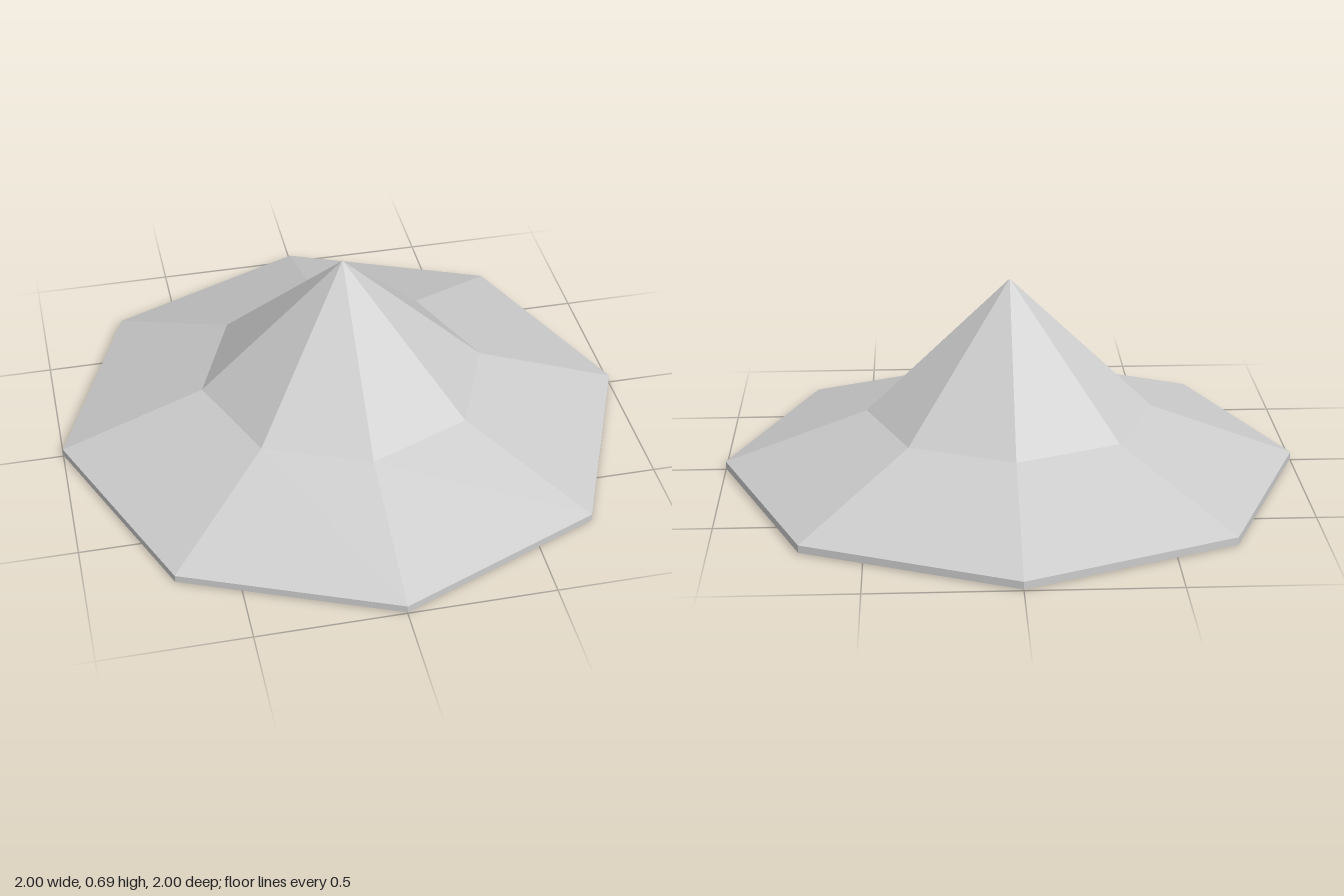
import * as THREE from 'three';

const SIDES = 8;

export function createModel() {
  const hat = new THREE.Group();
  hat.name = 'conicalHat';
  const material = new THREE.MeshStandardMaterial({ color: 0xcccccc, flatShading: true });

  // Revolve a [radius, height] profile into a faceted eight-sided part
  const addPart = (name, profile) => {
    const points = profile.map(([r, y]) => new THREE.Vector2(r, y));
    const mesh = new THREE.Mesh(new THREE.LatheGeometry(points, SIDES), material);
    mesh.name = name;
    hat.add(mesh);
  };

  // Outer shell: steep crown, shallow brim and thin vertical edge
  addPart('crown', [[0.5, 0.215], [0, 0.69]]);
  addPart('brim', [[1, 0.03], [0.5, 0.215]]);
  addPart('brimEdge', [[1, 0.004], [1, 0.03]]);

  // Underside: hollow crown and brim lining, then the bottom lip
  addPart('crownLining', [[0, 0.65], [0.475, 0.18]]);
  addPart('brimLining', [[0.475, 0.18], [0.82, 0.008]]);
  addPart('bottomLip', [[0.82, 0.008], [0.9, 0], [1, 0.004]]);

  return hat;
}
